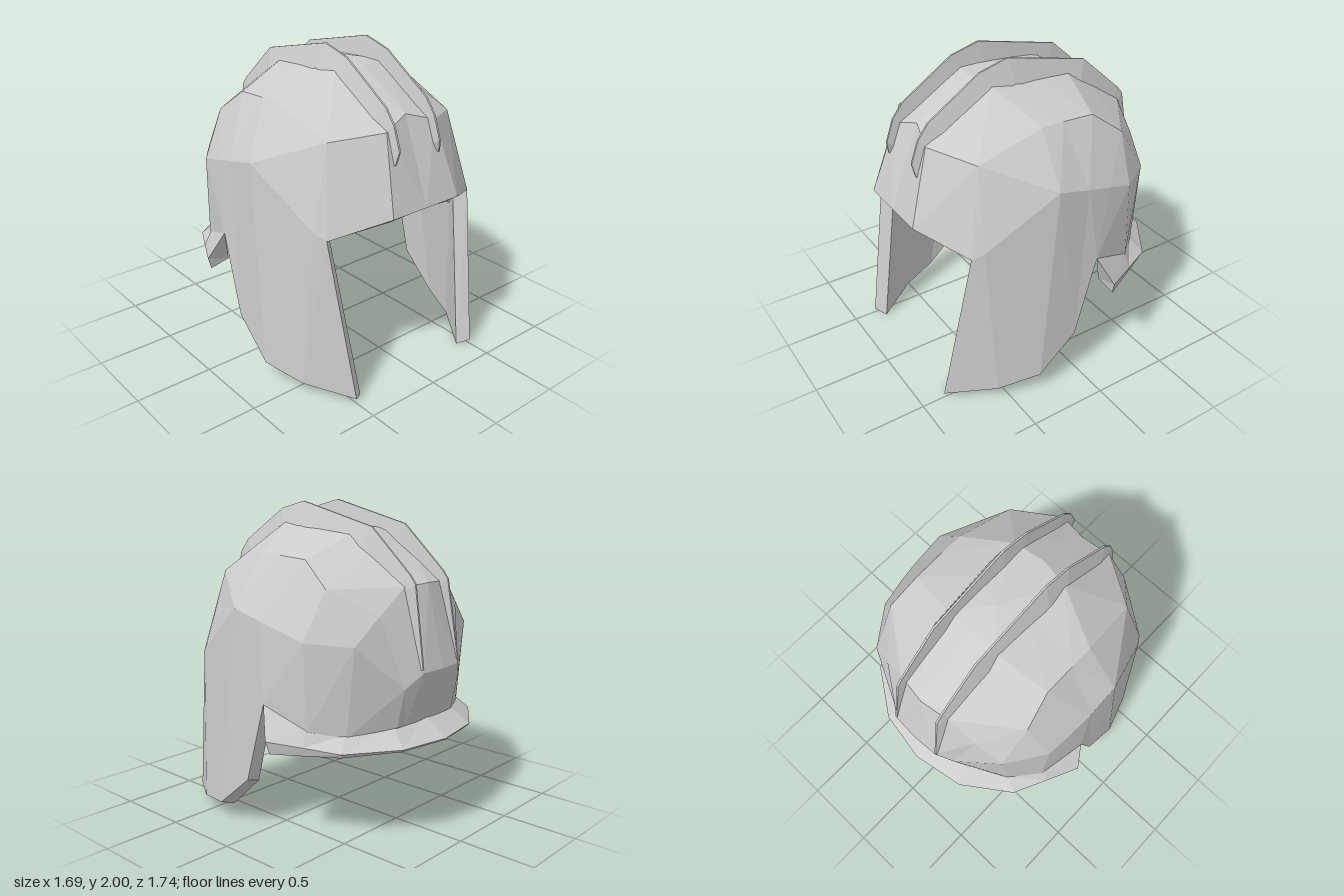
import * as THREE from 'three';

const V = (p) => new THREE.Vector3(...p);
const material = new THREE.MeshStandardMaterial({ color: 0xcccccc, flatShading: true });

// Collects triangles for the left half and mirrors each one to the right half
function halfBuilder() {
  const out = [];
  const tri = (a, b, c) => {
    for (const v of [a, b, c]) out.push(v.x, v.y, v.z);
    for (const v of [a, c, b]) out.push(-v.x, v.y, v.z);
  };
  const quad = (a, b, c, d) => { tri(a, b, c); tri(a, c, d); };
  const mesh = (name) => {
    const g = new THREE.BufferGeometry();
    g.setAttribute('position', new THREE.Float32BufferAttribute(out, 3));
    g.computeVertexNormals();
    const m = new THREE.Mesh(g, material);
    m.name = name;
    return m;
  };
  return { tri, quad, mesh };
}

// Closed solid from four-cornered cross-sections
function loft(name, sections) {
  const b = halfBuilder();
  for (let i = 0; i < sections.length - 1; i++) {
    const s = sections[i], t = sections[i + 1];
    for (let j = 0; j < 4; j++) {
      const k = (j + 1) % 4;
      b.quad(s[j], t[j], t[k], s[k]);
    }
  }
  b.quad(...sections[0]);
  b.quad(...[...sections.at(-1)].reverse());
  return b.mesh(name);
}

// Bowl and cheek guards: sections run from brim to nape, each from centre line to lower edge
function shell() {
  const grid = [
    [[0, 1.14, 0.87], [0.13, 1.14, 0.87], [0.26, 1.14, 0.87], [0.58, 1.03, 0.67], [0.5, 0.025, 0.85]],
    [[0, 1.66, 0.67], [0.19, 1.6, 0.72], [0.48, 1.56, 0.55], [0.62, 1.07, 0.6], [0.69, 0.07, 0.57]],
    [[0, 1.87, 0.31], [0.19, 1.87, 0.28], [0.52, 1.7, 0.15], [0.74, 1.39, 0.17], [0.775, 0.12, 0.31]],
    [[0, 1.88, -0.08], [0.19, 1.85, 0], [0.52, 1.7, 0], [0.74, 1.34, -0.04], [0.775, 0.34, 0.05]],
    [[0, 1.83, -0.27], [0.19, 1.82, -0.27], [0.52, 1.69, -0.21], [0.73, 1.3, -0.2], [0.77, 0.85, -0.1]],
    [[0, 1.7, -0.47], [0.19, 1.69, -0.47], [0.56, 1.54, -0.41], [0.71, 1.25, -0.37], [0.7, 0.73, -0.39]],
    [[0, 1.55, -0.71], [0.19, 1.54, -0.68], [0.37, 1.39, -0.65], [0.54, 1.23, -0.61], [0.55, 0.69, -0.56]],
    [[0, 1.05, -0.83], [0.17, 1.05, -0.82], [0.27, 0.96, -0.76], [0.37, 0.87, -0.69], [0.46, 0.7, -0.61]],
    [[0, 0.72, -0.72], [0.11, 0.72, -0.72], [0.2, 0.72, -0.715], [0.27, 0.72, -0.71], [0.38, 0.71, -0.65]],
  ].map((row) => row.map(V));
  const rows = grid.length, cols = grid[0].length;
  const normals = grid.map((row) => row.map(() => new THREE.Vector3()));
  const faces = [];

  // Split each cell along its convex diagonal and gather corner normals
  for (let s = 0; s < rows - 1; s++) for (let l = 0; l < cols - 1; l++) {
    const ids = [[s, l], [s, l + 1], [s + 1, l + 1], [s + 1, l]];
    const [a, b, c, d] = ids.map(([i, j]) => grid[i][j]);
    const n = b.clone().sub(a).cross(c.clone().sub(a));
    const picks = n.dot(d.clone().sub(a)) > 0 ? [[0, 1, 3], [1, 2, 3]] : [[0, 1, 2], [0, 2, 3]];
    for (const pick of picks) {
      const f = pick.map((k) => ids[k]);
      const [p, q, r] = f.map(([i, j]) => grid[i][j]);
      const fn = q.clone().sub(p).cross(r.clone().sub(p));
      f.forEach(([i, j]) => normals[i][j].add(fn));
      faces.push(f);
    }
  }

  // Inside: even thickness at the rim, a shallow sloping cavity above the cheeks and nape
  const inner = grid.map((row, i) => row.map((p, j) => {
    if (i === 0 || i === rows - 1 || j === cols - 1) {
      const n = normals[i][j];
      if (j === 0) n.x = 0;
      const q = p.clone().addScaledVector(n.normalize(), -0.09);
      if (i < 4) q.y -= 0.025;
      if (i > 4) q.y = 0.64;
      return q;
    }
    if (i === rows - 2) return V([p.x * 1.05, 0.89, p.z * 0.6]);
    return j === cols - 2
      ? V([p.x * 0.9, 0.9, p.z * 0.9])
      : V([p.x * 0.75, 0.27 + 0.55 * p.y, p.z * 0.58]);
  }));

  const b = halfBuilder();
  for (const f of faces) {
    b.tri(...f.map(([i, j]) => grid[i][j]));
    b.tri(...f.map(([i, j]) => inner[i][j]).reverse());
  }
  // Thickness along brim, cheek guard and nape edges
  const rim = [];
  for (let l = 0; l < cols; l++) rim.push([0, l]);
  for (let s = 1; s < rows; s++) rim.push([s, cols - 1]);
  for (let l = cols - 2; l >= 0; l--) rim.push([rows - 1, l]);
  for (let k = 0; k < rim.length - 1; k++) {
    const [i, j] = rim[k], [m, n] = rim[k + 1];
    b.quad(grid[i][j], inner[i][j], inner[m][n], grid[m][n]);
  }
  return b.mesh('helmetShell');
}

// Flared neck guard, from the centre of the back round to the cheek guards
function neckGuard() {
  return loft('neckGuard', [
    [[0, 0.74, -0.7], [0, 0.625, -0.87], [0, 0.615, -0.865], [0, 0.63, -0.62]],
    [[0.27, 0.74, -0.68], [0.34, 0.625, -0.81], [0.335, 0.61, -0.8], [0.24, 0.63, -0.6]],
    [[0.55, 0.71, -0.55], [0.64, 0.625, -0.6], [0.63, 0.6, -0.59], [0.47, 0.625, -0.49]],
    [[0.7, 0.74, -0.38], [0.745, 0.645, -0.395], [0.73, 0.59, -0.39], [0.61, 0.62, -0.34]],
    [[0.77, 0.85, -0.1], [0.845, 0.66, -0.19], [0.82, 0.58, -0.2], [0.7, 0.62, -0.18]],
  ].map((s) => s.map(V)));
}

// Twin crest ridges: a tapering blade swept over the bowl along (z, y)
function crestRidges() {
  const path = [[0.785, 1.42], [0.8, 1.5], [0.75, 1.64], [0.68, 1.73], [0.34, 1.95],
    [0.15, 2], [-0.41, 1.87], [-0.7, 1.61], [-0.74, 1.56], [-0.82, 1.07]];
  return loft('crestRidges', path.map(([z, y], i) => {
    const tip = i === 0 || i === path.length - 1;
    const dir = new THREE.Vector2(z, y - 1).normalize().multiplyScalar(tip ? 0.03 : 0.15);
    const bz = z - dir.x, by = y - dir.y;
    const [outer, crest, inside] = tip ? [0.19, 0.18, 0.165] : [0.22, 0.165, 0.125];
    return [[outer, by, bz], [crest, y, z], [crest - 0.012, y, z], [inside, by, bz]].map(V);
  }));
}

export function createModel() {
  const group = new THREE.Group();
  group.name = 'helmet';
  group.add(shell(), neckGuard(), crestRidges());
  return group;
}
